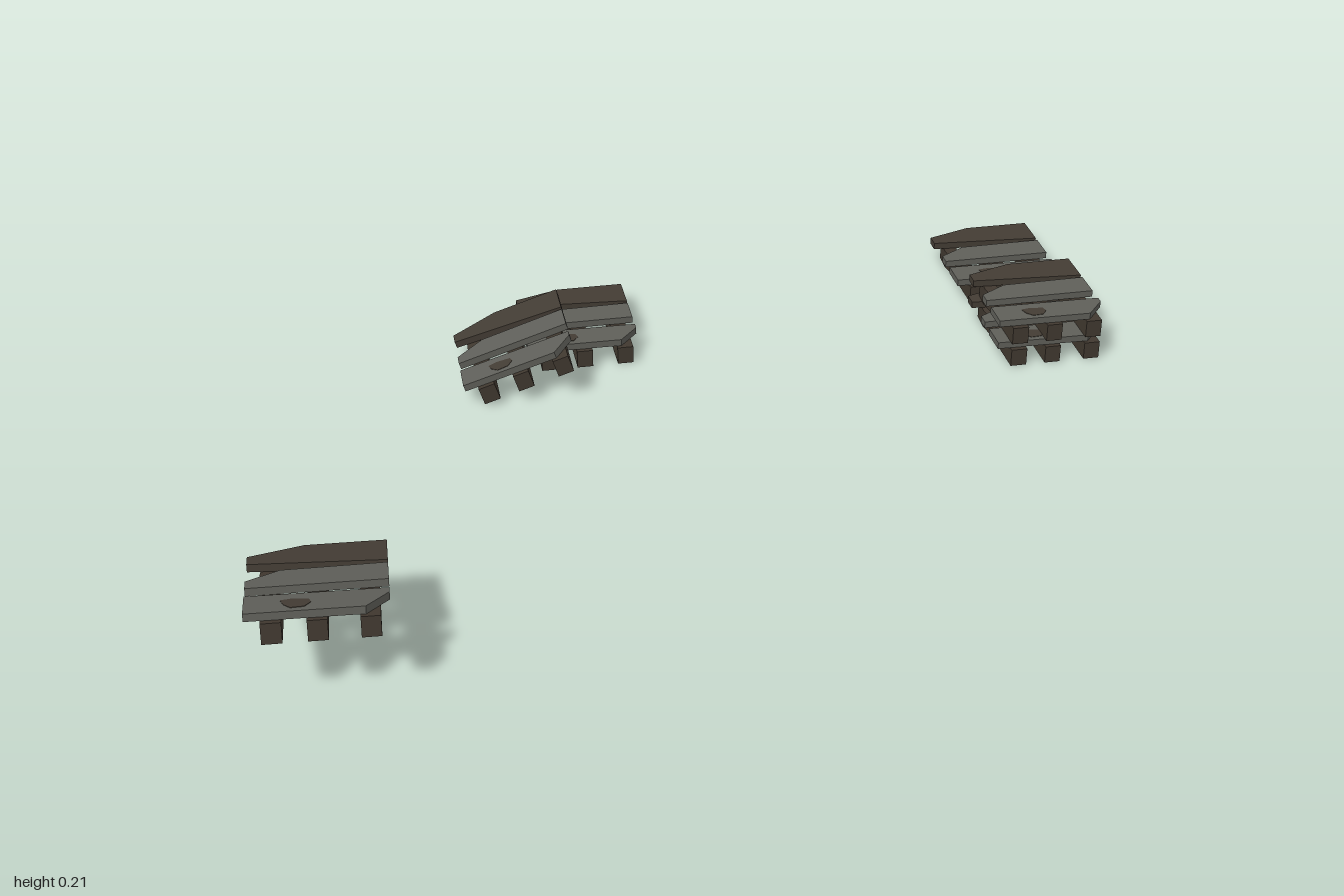
import * as THREE from 'three';

const material = (name, color) => {
  const m = new THREE.MeshStandardMaterial({ color, flatShading: true });
  m.name = name;
  return m;
};

// Board with a plan outline in x/z, between heights y0 and y1
function board(name, outline, y0, y1, mat) {
  const shape = new THREE.Shape(outline.map(([x, z]) => new THREE.Vector2(x, -z)));
  const geo = new THREE.ExtrudeGeometry(shape, { depth: y1 - y0, bevelEnabled: false });
  geo.rotateX(-Math.PI / 2);
  geo.translate(0, y0, 0);
  const mesh = new THREE.Mesh(geo, mat);
  mesh.name = name;
  return mesh;
}

export function createModel() {
  const greyWood = material('grey wood', 0x5f5f59);
  const brownWood = material('dark brown wood', 0x433c34);
  const beamWood = material('beam wood', 0x40382f);

  const beamTop = 0.042, top = 0.058;

  function pallet(name) {
    const g = new THREE.Group();
    g.name = name;

    // Two whole beams
    for (const [label, x] of [['middleBeam', 0], ['leftBeam', 0.096]]) {
      const beam = new THREE.Mesh(new THREE.BoxGeometry(0.037, beamTop, 0.3), beamWood);
      beam.name = label;
      beam.position.set(x, beamTop / 2, 0);
      g.add(beam);
    }
    // Beam with a splintered back end
    g.add(board('brokenBeam', [
      [-0.102, 0.15], [-0.064, 0.15], [-0.064, 0.02], [-0.078, -0.03],
      [-0.07, -0.118], [-0.105, -0.1], [-0.108, -0.05], [-0.102, 0],
    ], 0, beamTop, beamWood));

    // Three broken planks, back to front
    g.add(board('backPlank', [
      [-0.132, -0.103], [-0.025, -0.14], [0.132, -0.14], [0.132, -0.05], [-0.132, -0.07],
    ], beamTop, top, brownWood));
    g.add(board('middlePlank', [
      [-0.132, 0.033], [-0.132, 0.003], [-0.068, -0.036], [0.132, -0.039], [0.132, 0.033],
    ], beamTop, top, greyWood));
    g.add(board('frontPlank', [
      [-0.132, 0.066], [0.132, 0.07], [0.132, 0.088], [0.088, 0.14], [-0.132, 0.137],
    ], beamTop, top, greyWood));

    // Dark knot on the front plank
    g.add(board('knot', [
      [-0.066, 0.094], [-0.045, 0.09], [-0.014, 0.094], [-0.01, 0.108],
      [-0.022, 0.124], [-0.047, 0.126], [-0.06, 0.112],
    ], top, top + 0.001, brownWood));
    return g;
  }

  // name, position, rotation
  const placements = [
    ['backStackPallet', [0.8675, 0, -0.65], [0, 0, 0]],
    ['frontStackPallet', [0.8675, 0, -0.325], [0, 0, 0]],
    ['topStackPallet', [0.8675, top, -0.325], [0, 0, 0]],
    ['flatPallet', [-0.217, 0, -0.513], [0, 0, 0]],
    ['leaningPallet', [-0.37, 0.034, -0.38], [0, 0, 0.305]],
    ['tiltedPallet', [-0.865, 0.127, 0.65], [-0.16, -0.03, -0.03]],
  ];
  const model = new THREE.Group();
  model.name = 'brokenPallets';
  for (const [name, position, rotation] of placements) {
    const p = pallet(name);
    p.position.set(...position);
    p.rotation.set(...rotation);
    model.add(p);
  }
  return model;
}
